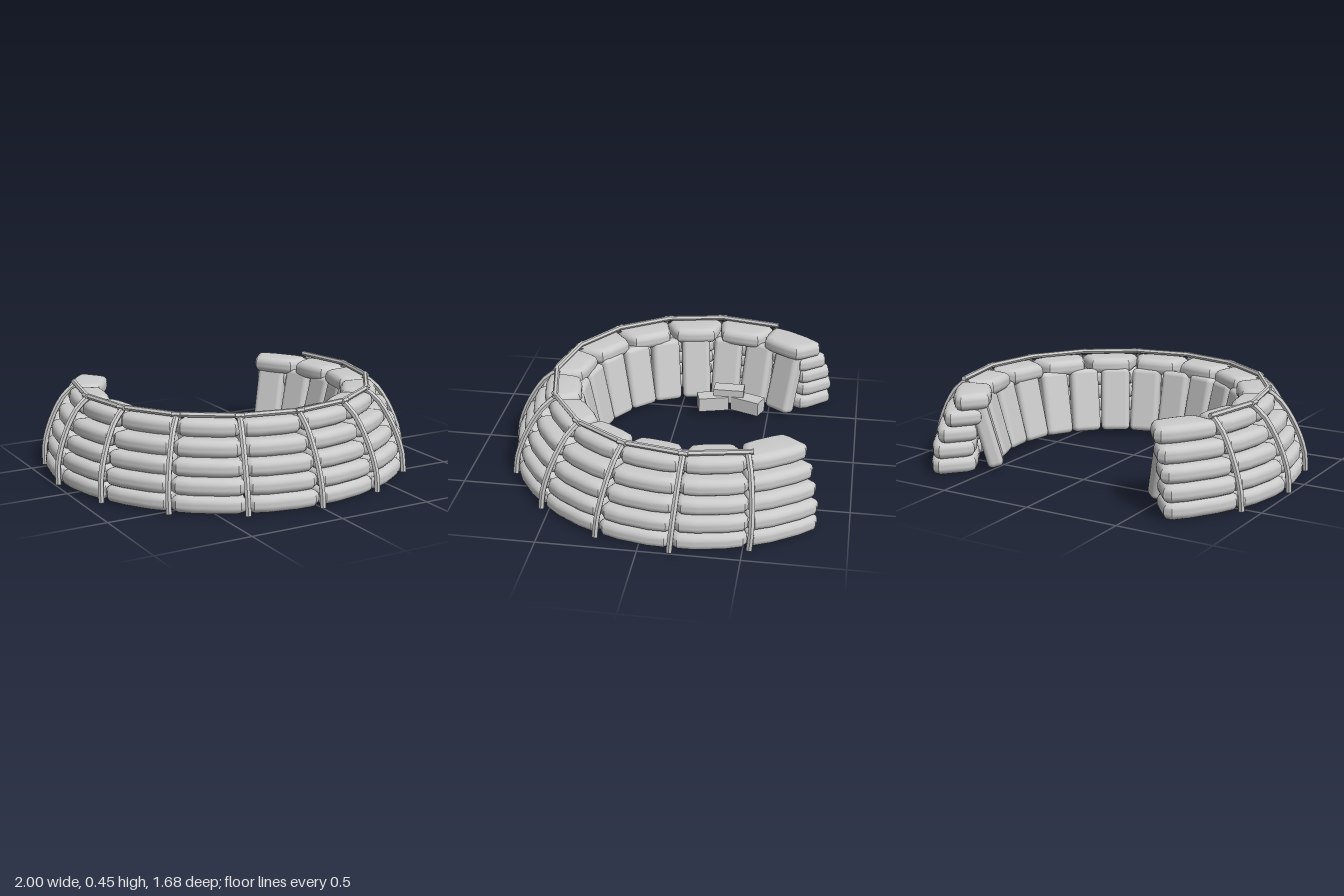
import * as THREE from 'three';
import { toCreasedNormals } from 'three/addons/utils/BufferGeometryUtils.js';
import { RoundedBoxGeometry } from 'three/addons/geometries/RoundedBoxGeometry.js';

const STEP = Math.PI / 8; // angle between ribs
// ring centre drifts backward with height
const centerZ = (y) => -0.155 - 0.09 * y;

export function createModel() {
  const model = new THREE.Group();
  const smooth = new THREE.MeshStandardMaterial({ color: 0xcccccc });
  const flat = new THREE.MeshStandardMaterial({ color: 0xcccccc, flatShading: true });

  // small seeded generator for slight irregularity, -1..1
  let seed = 7;
  const jitter = () => {
    seed = (seed * 16807) % 2147483647;
    return (seed / 2147483647) * 2 - 1;
  };

  // point on the ring, angle measured from the front
  const onRing = (angle, r, y, cz = centerZ(y)) =>
    new THREE.Vector3(r * Math.sin(angle), y, r * Math.cos(angle) + cz);

  const add = (name, geometry, material, position, angle = 0) => {
    const mesh = new THREE.Mesh(geometry, material);
    mesh.name = name;
    mesh.position.copy(position);
    mesh.rotation.order = 'YXZ';
    mesh.rotation.y = angle;
    model.add(mesh);
    return mesh;
  };

  // pillow-like bag: faceted wedge plan, outer side facing +z, rounded edges
  const bagGeometry = (w, h, d) => {
    const half = [
      [0.4 * w, d / 2], [0.86 * w, d / 2 - 0.014], [w, d / 2 - 0.045],
      [0.8 * w, -d / 2 + 0.045], [0.66 * w, -d / 2 + 0.008], [0.3 * w, -d / 2],
    ];
    const outline = [...half, ...half.map(([x, z]) => [-x, z]).reverse()];
    const shape = new THREE.Shape(outline.map(([x, z]) => new THREE.Vector2(x, -z)));
    const r = 0.036;
    const g = new THREE.ExtrudeGeometry(shape, {
      depth: h - 2 * r, bevelThickness: r, bevelSize: r, bevelOffset: -r, bevelSegments: 4,
    });
    g.translate(0, 0, r - h / 2);
    g.rotateX(-Math.PI / 2);
    return toCreasedNormals(g, 0.6);
  };

  // stacked courses of bags, stepping inward toward the top
  const layerH = 0.084;
  [0.975, 0.965, 0.935, 0.895, 0.835].forEach((r, layer) => {
    const depth = 0.24 - layer * 0.012;
    const geometry = bagGeometry(0.19 * r, layerH + 0.003, depth);
    const y = layerH * (layer + 0.5) + 0.001;
    for (let i = 0; i < 12; i++) {
      const angle = (i - 5.5) * STEP;
      const bag = add('wallSandbag', geometry, smooth,
        onRing(angle, r - depth / 2 + jitter() * 0.004, y), angle);
      if (i === 0 || i === 11) bag.scale.x = 1.07;
    }
  });

  // upright bags leaning against the inside of the wall
  const upright = new RoundedBoxGeometry(0.162, 0.355, 0.085, 3, 0.028);
  for (let i = -8; i <= 8; i++) {
    const t = Math.abs(i) / 8;
    const angle = i * 0.275;
    const bag = add('uprightSandbag', upright, smooth,
      onRing(angle, 0.64 + 0.03 * t * t, 0.19, -0.19), angle);
    bag.rotation.x = 0.2 + t * 0.06;
    bag.rotation.z = jitter() * 0.025;
  }

  // bent ribs over the outside
  const ribProfile = [
    [0.984, 0], [0.98, 0.1], [0.953, 0.2], [0.908, 0.3], [0.855, 0.38], [0.785, 0.436],
  ];
  const footGeometry = new THREE.CircleGeometry(0.016, 6);
  for (let i = -5; i <= 5; i++) {
    const angle = i * STEP;
    const curve = new THREE.CatmullRomCurve3(ribProfile.map(([r, y]) => onRing(angle, r, y)));
    add('rib', new THREE.TubeGeometry(curve, 10, 0.016, 6, false), flat, new THREE.Vector3());
    const foot = add('ribFoot', footGeometry, flat, onRing(angle, 0.984, 0.001), angle);
    foot.rotation.x = Math.PI / 2;
  }

  // top rail of straight bars joining the ribs
  const railR = 0.797;
  const bar = new THREE.CylinderGeometry(0.014, 0.014, 2 * railR * Math.sin(STEP / 2) + 0.05, 6);
  bar.rotateZ(Math.PI / 2);
  for (let i = 0; i < 10; i++) {
    const angle = (i - 4.5) * STEP;
    add('topRail', bar, flat, onRing(angle, railR * Math.cos(STEP / 2), 0.441), angle);
  }

  // three small boxes in an arc inside the ring
  const boxGeometry = new THREE.BoxGeometry(0.088, 0.08, 0.17);
  [
    [-0.453, 0.07, -0.385, -0.36],
    [-0.453, 0.07, -0.185, 0.27],
    [-0.487, 0.11, -0.275, 0],
  ].forEach(([x, y, z, turn]) =>
    add('smallBox', boxGeometry, flat, new THREE.Vector3(x, y, z), turn));

  return model;
}
